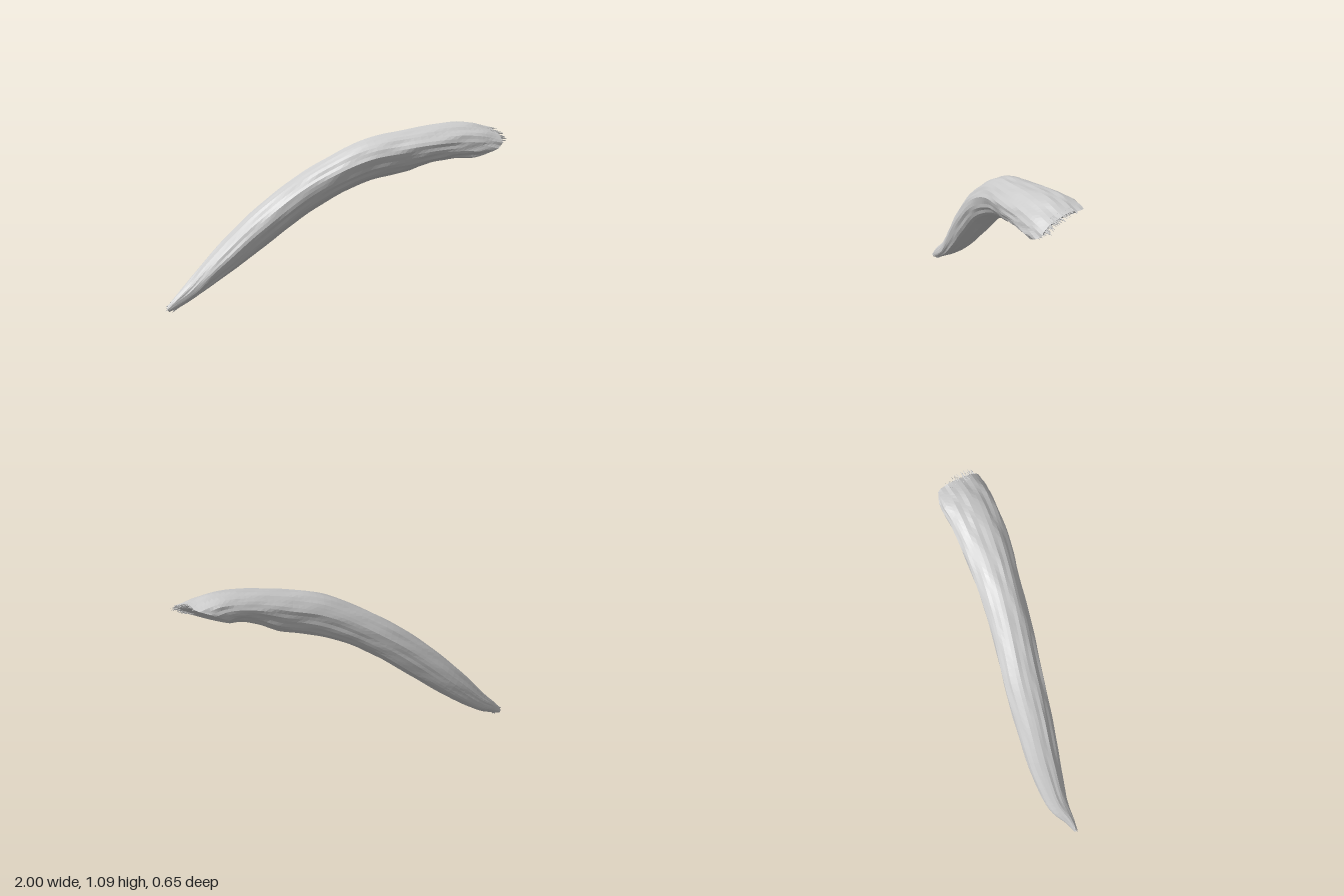
import * as THREE from 'three';

const SIDES = 36, RINGS = 64;

// centre line, and per point: [half height, half width, roll]
const centre = new THREE.CatmullRomCurve3([
  [-0.98, 0.02, -0.24], [-0.915, 0.064, -0.243], [-0.79, 0.153, -0.258], [-0.6, 0.318, -0.225],
  [-0.4, 0.495, -0.17], [-0.2, 0.655, -0.113], [0, 0.782, -0.049], [0.2, 0.876, 0.01],
  [0.4, 0.925, 0.066], [0.6, 0.97, 0.117], [0.75, 0.985, 0.147], [0.87, 0.97, 0.158],
].map(p => new THREE.Vector3(...p)), false, 'catmullrom', 0.5);
const girth = new THREE.CatmullRomCurve3([
  [0.014, 0.011, 0], [0.034, 0.029, 0], [0.056, 0.067, 0], [0.088, 0.097, 0],
  [0.107, 0.11, 0], [0.109, 0.119, 0], [0.113, 0.118, 0.03], [0.122, 0.121, 0.1],
  [0.121, 0.132, 0.17], [0.111, 0.152, 0.22], [0.099, 0.165, 0.26], [0.082, 0.167, 0.28],
].map(p => new THREE.Vector3(...p)), false, 'catmullrom', 0.5);

function seeded(seed) {
  return () => (seed = (seed * 16807) % 2147483647) / 2147483647;
}

// long grooves that wander slowly round the limb, with small irregular facets
function bark(a, t) {
  const drift = 0.5 * Math.sin(t * 7);
  const mirrored = a > Math.PI ? 2 * Math.PI - a : a;
  return 1.005 + 0.025 * Math.sin(3 * a + 5 * t + 1)
    + 0.02 * Math.sin(7 * a + 9 * t + drift * 3)
    - 0.03 * Math.abs(Math.sin(5.5 * mirrored + 4 * drift + 6 * t))
    + 0.012 * Math.sin(13 * a - 17 * t) + 0.01 * Math.sin(31 * t + 2 * a)
    + 0.012 * Math.sin(11 * a + 47 * t) * Math.sin(5 * a - 29 * t);
}

function surfacePoint(t, a, scale = 1) {
  const c = centre.getPoint(t), g = girth.getPoint(t), T = centre.getTangent(t);
  const B0 = new THREE.Vector3(-T.z, 0, T.x).normalize();
  const N0 = new THREE.Vector3().crossVectors(B0, T);
  const cs = Math.cos(g.z), sn = Math.sin(g.z);
  const N = N0.clone().multiplyScalar(cs).addScaledVector(B0, sn);
  const B = B0.clone().multiplyScalar(cs).addScaledVector(N0, -sn);
  const k = bark(a, t) * scale;
  const p = c.clone().addScaledVector(N, Math.cos(a) * g.x * k).addScaledVector(B, Math.sin(a) * g.y * k);
  // lean the sections of the thick end towards a slanting break
  const w = THREE.MathUtils.clamp((c.x - 0.4) / 0.47, 0, 1) ** 1.5;
  const cut = Math.min(0.95, 0.86 + 1.8 * (p.y - 0.965) + 0.6 * (p.z - 0.155));
  p.x = c.x + (1 - w) * (p.x - c.x) + w * (cut - 0.87);
  return p;
}

function loft(rings, flip = false) {
  const n = rings[0].length, index = [];
  for (let i = 0; i < rings.length - 1; i++) {
    for (let j = 0; j < n; j++) {
      const k = (j + 1) % n, a = i * n + j, b = i * n + k, c = a + n, d = b + n;
      if (flip) index.push(a, c, b, b, c, d);
      else index.push(a, b, c, b, d, c);
    }
  }
  const geo = new THREE.BufferGeometry().setFromPoints(rings.flat());
  geo.setIndex(index);
  geo.computeVertexNormals();
  return geo;
}

const ring = (t, scale = 1) =>
  Array.from({ length: SIDES }, (_, j) => surfacePoint(t, j / SIDES * Math.PI * 2, scale));

export function createModel() {
  const group = new THREE.Group();
  const mat = new THREE.MeshStandardMaterial({ color: 0xcccccc, flatShading: true });
  const add = (geo, name, parent = group) => {
    const mesh = new THREE.Mesh(geo, mat);
    mesh.name = name;
    parent.add(mesh);
    return mesh;
  };

  // curved limb
  add(loft(Array.from({ length: RINGS + 1 }, (_, i) => ring(i / RINGS))), 'branch');

  // slightly hollow broken face and the closed tip
  const hollow = [1, 0.8, 0.45, 0.001].map((s, i) =>
    ring(1, s).map(p => p.add(new THREE.Vector3(-0.012 * i, 0.004 * i, 0))));
  add(loft(hollow), 'brokenFace');
  add(loft([ring(0), ring(0, 0.001)], true), 'tipCap');

  // frayed wood fibres: long, flat slivers
  const rand = seeded(77);
  const up = new THREE.Vector3(0, 1, 0);
  function splinter(base, goal, radius, parent) {
    const dir = goal.clone().sub(base), length = dir.length();
    const geo = new THREE.ConeGeometry(radius, length, 5);
    geo.translate(0, length / 2, 0);
    const mesh = add(geo, 'splinter', parent);
    mesh.scale.z = 0.7;
    mesh.position.copy(base);
    mesh.quaternion.setFromUnitVectors(up, dir.normalize());
  }

  // along the upper and front rim of the break, longest at the top
  const fray = new THREE.Group();
  fray.name = 'frayedEnd';
  group.add(fray);
  const count = 40;
  for (let i = 0; i < count; i++) {
    const f = i / (count - 1), a = -0.7 + 2.4 * f;
    const base = surfacePoint(0.975, a, 0.87);
    const goal = surfacePoint(1, a + 0.1 * (rand() - 0.5), 0.82 + 0.15 * rand());
    goal.x = Math.min(goal.x + 0.01 + 0.065 * rand() * Math.sin(Math.PI * f), 0.995);
    splinter(base, goal, 0.008 + 0.006 * rand(), fray);
  }

  // at the thin tip
  const tip = new THREE.Group();
  tip.name = 'frayedTip';
  group.add(tip);
  const tipEnds = [[-0.995, 0.035], [-1, 0.012], [-0.985, 0.02], [-0.955, 0.002], [-0.93, 0.012], [-0.97, 0.06]];
  const tipAngles = [0.4, 1.6, 2.2, 3, 3.6, 5.6];
  tipEnds.forEach(([x, y], i) => {
    const base = surfacePoint(0.08, tipAngles[i], 0.6);
    splinter(base, new THREE.Vector3(x, y, -0.24 + 0.012 * (rand() - 0.5)), 0.014, tip);
  });
  return group;
}
